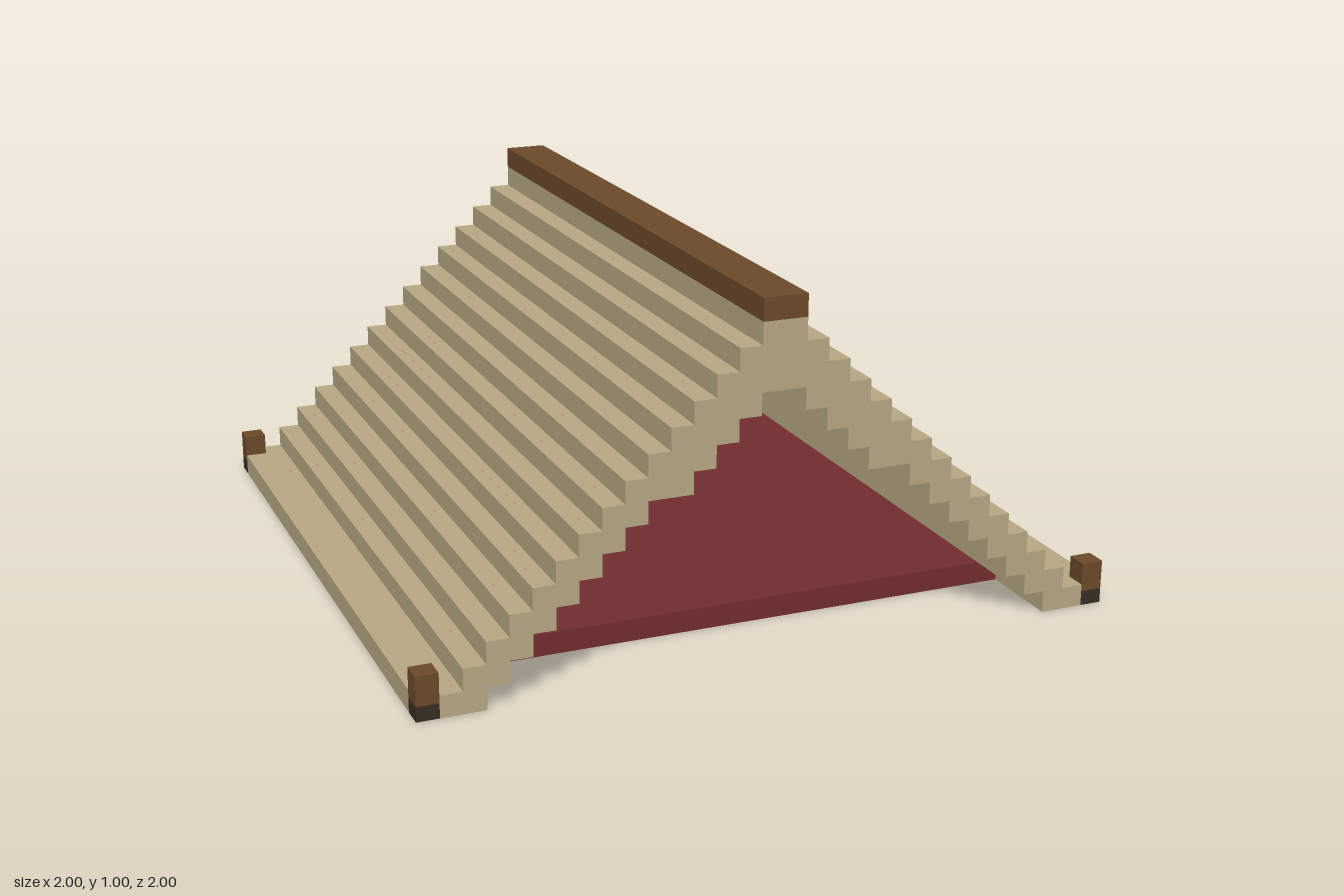
import * as THREE from 'three';

const U = 1 / 16; // one block

const mat = (name, color) => {
  const m = new THREE.MeshStandardMaterial({ color });
  m.name = name;
  return m;
};

// Stepped outline from bottom right, over the top, to bottom left.
// halves[i] is the half width of row i, in blocks.
function steppedOutline(halves) {
  const right = [];
  halves.forEach((h, i) => {
    right.push(new THREE.Vector2(h * U, i * U), new THREE.Vector2(h * U, (i + 1) * U));
  });
  const left = right.map((p) => new THREE.Vector2(-p.x, p.y)).reverse();
  return [...right, ...left];
}

export function createModel() {
  const canvas = mat('canvas tan', 0xb8a985);
  const wood = mat('wood brown', 0x6b4a2b);
  const dark = mat('dark brown', 0x382e24);
  const red = mat('carpet red', 0x722d30);

  const tent = new THREE.Group();
  tent.name = 'tent';

  const add = (name, geometry, material) => {
    const mesh = new THREE.Mesh(geometry, material);
    mesh.name = name;
    tent.add(mesh);
    return mesh;
  };
  const extrude = (name, points, z0, z1, material) => {
    const geometry = new THREE.ExtrudeGeometry(new THREE.Shape(points), {
      depth: z1 - z0, bevelEnabled: false,
    });
    add(name, geometry.translate(0, 0, z0), material);
  };
  const box = (name, x0, x1, y0, y1, z0, z1, material) => {
    const geometry = new THREE.BoxGeometry(x1 - x0, y1 - y0, z1 - z0);
    add(name, geometry.translate((x0 + x1) / 2, (y0 + y1) / 2, (z0 + z1) / 2), material);
  };

  // Row widths of the roof and of the hollow inside it
  const outer = steppedOutline([15, 14, 13, 12, 11, 10, 9, 8, 7, 6, 5, 4, 3, 2, 1]);
  const inner = steppedOutline([13, 12, 11, 10, 9, 8, 7, 6, 4, 3, 2, 1]);

  // Canvas roof, back wall and dark lining
  const backZ = -1 + 2 * U;
  const liningZ = backZ + U;
  extrude('roof', [...outer, ...[...inner].reverse()], backZ, 1, canvas);
  extrude('backWall', outer, -1, backZ, canvas);
  extrude('backLining', inner, backZ, liningZ, dark);

  // Carpet, set back from the entrance
  box('carpet', -13 * U, 13 * U, 0, U, liningZ, 0.75, red);

  // Ridge beam
  box('ridgeBeam', -U, U, 15 * U, 1, -1, 1, wood);

  // Eaves between the corner pegs
  for (const s of [-1, 1]) {
    const side = s > 0 ? 'left' : 'right';
    const x0 = s > 0 ? 1 - U : -1;
    box(`${side}Eave`, x0, x0 + U, 0, U, -1 + U, 1 - U, canvas);

    // Corner pegs with dark feet
    for (const e of [-1, 1]) {
      const end = e > 0 ? 'Front' : 'Back';
      const z0 = e > 0 ? 1 - U : -1;
      box(`${side}${end}PegFoot`, x0, x0 + U, 0, 0.042, z0, z0 + U, dark);
      box(`${side}${end}Peg`, x0, x0 + U, 0.042, 2 * U, z0, z0 + U, wood);
    }
  }

  return tent;
}
